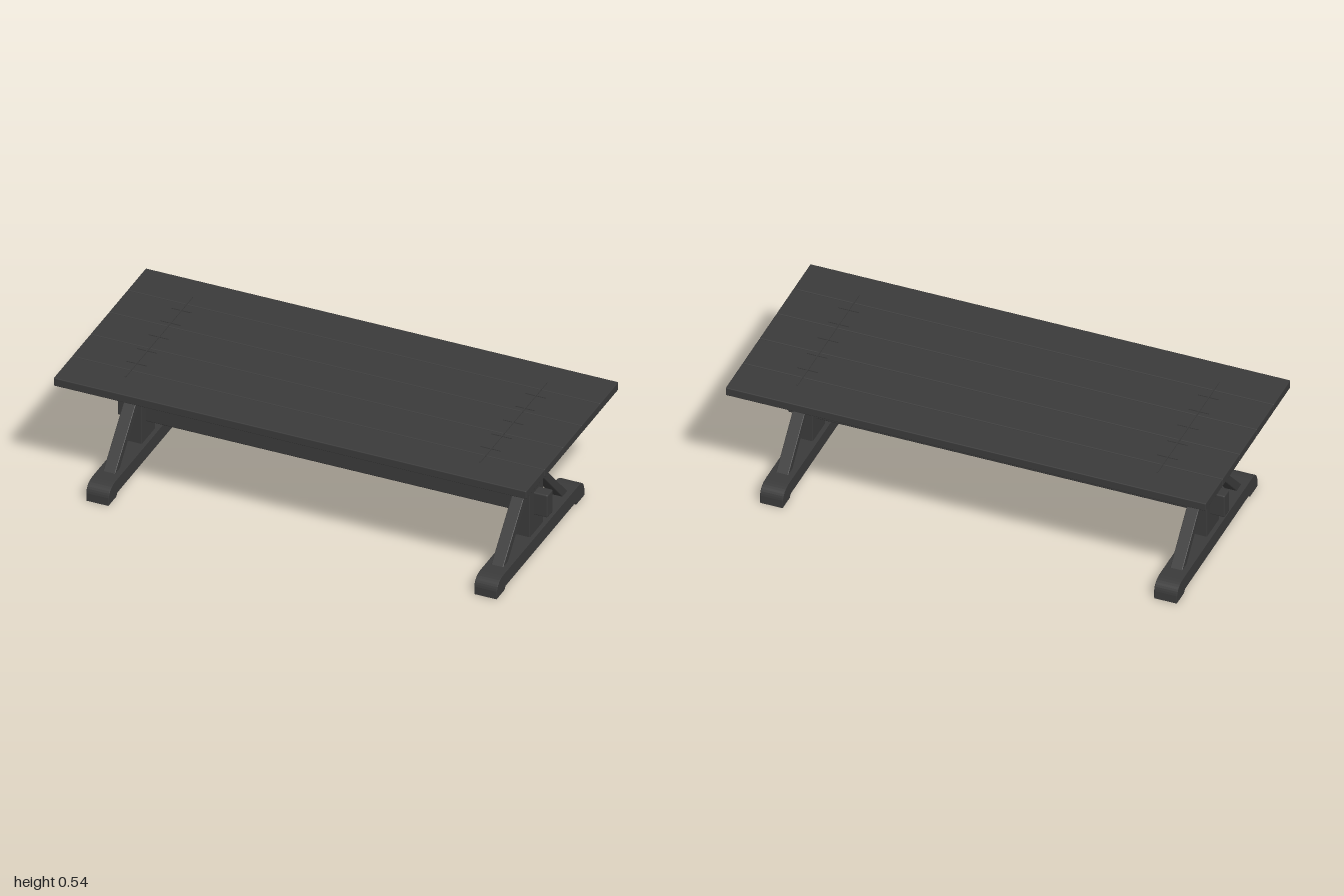
import * as THREE from 'three';
import { RoundedBoxGeometry } from 'three/addons/geometries/RoundedBoxGeometry.js';

const wood = new THREE.MeshStandardMaterial({ color: 0x3a3a3a });
const MID = 0.007; // z centre of the trestles

function add(parent, name, geometry, x = 0, y = 0, z = 0) {
  const mesh = new THREE.Mesh(geometry, wood);
  mesh.name = name;
  mesh.position.set(x, y, z);
  parent.add(mesh);
  return mesh;
}

const beam = (w, h, d, r = 0.004) => new RoundedBoxGeometry(w, h, d, 2, r);

// Extrudes a profile drawn in (z, y) to a given width centred on x = 0
function slab(shape, width) {
  const bevel = 0.002;
  const g = new THREE.ExtrudeGeometry(shape, {
    depth: width - 2 * bevel, bevelThickness: bevel, bevelSize: bevel,
    bevelOffset: -bevel, bevelSegments: 1, curveSegments: 8,
  });
  g.translate(0, 0, bevel - width / 2);
  return g.rotateY(-Math.PI / 2);
}

// Sled foot with rounded toes and a shallow raised underside
function footShape() {
  const s = new THREE.Shape();
  s.moveTo(-0.412, 0);
  s.lineTo(-0.337, 0);
  s.quadraticCurveTo(-0.335, 0.013, -0.325, 0.013);
  s.lineTo(0.325, 0.013);
  s.quadraticCurveTo(0.335, 0.013, 0.337, 0);
  s.lineTo(0.412, 0);
  s.lineTo(0.412, 0.035);
  s.bezierCurveTo(0.408, 0.06, 0.39, 0.078, 0.345, 0.078);
  s.lineTo(-0.345, 0.078);
  s.bezierCurveTo(-0.39, 0.078, -0.408, 0.06, -0.412, 0.035);
  s.closePath();
  return s;
}

// Diagonal brace outline, mirrored by side
function braceShape(side, points) {
  return new THREE.Shape(points.map(([z, y]) => new THREE.Vector2(z * side, y)));
}

function createTrestle() {
  const trestle = new THREE.Group();
  add(trestle, 'foot', slab(footShape(), 0.096), 0, 0, MID);
  add(trestle, 'post', beam(0.062, 0.434, 0.128), 0, 0.288, MID);
  const lower = [[0.304, 0.076], [0.06, 0.331], [0.06, 0.285], [0.257, 0.076]];
  const upper = [[0.222, 0.502], [0.06, 0.348], [0.06, 0.396], [0.173, 0.502]];
  for (const side of [1, -1]) {
    add(trestle, 'lowerBrace', slab(braceShape(side, lower), 0.05), 0, 0, MID);
    add(trestle, 'upperBrace', slab(braceShape(side, upper), 0.05), 0, 0, MID);
  }
  return trestle;
}

export function createModel() {
  const table = new THREE.Group();
  table.name = 'trestleTable';

  // Five top planks
  const pitch = 0.174;
  for (let i = -2; i <= 2; i++) {
    add(table, 'plank', beam(2, 0.036, pitch - 0.001), 0, 0.517, i * pitch);
  }

  // Thin inlaid cross strips with small cross ticks, and the trestles below
  for (const side of [-1, 1]) {
    add(table, 'crossStrip', new THREE.BoxGeometry(0.006, 0.004, 0.632), side * 0.75, 0.536, 0);
    for (const z of [-0.21, -0.11, 0, 0.11, 0.21]) {
      add(table, 'stripTick', new THREE.BoxGeometry(0.085, 0.004, 0.003), side * 0.75, 0.5365, z);
    }
    const trestle = createTrestle();
    trestle.name = side > 0 ? 'leftTrestle' : 'rightTrestle';
    trestle.position.x = side * 0.821;
    table.add(trestle);
  }

  // Long stretcher passing through both posts
  add(table, 'stretcher', beam(1.82, 0.102, 0.052, 0.006), 0, 0.21, MID);

  return table;
}
